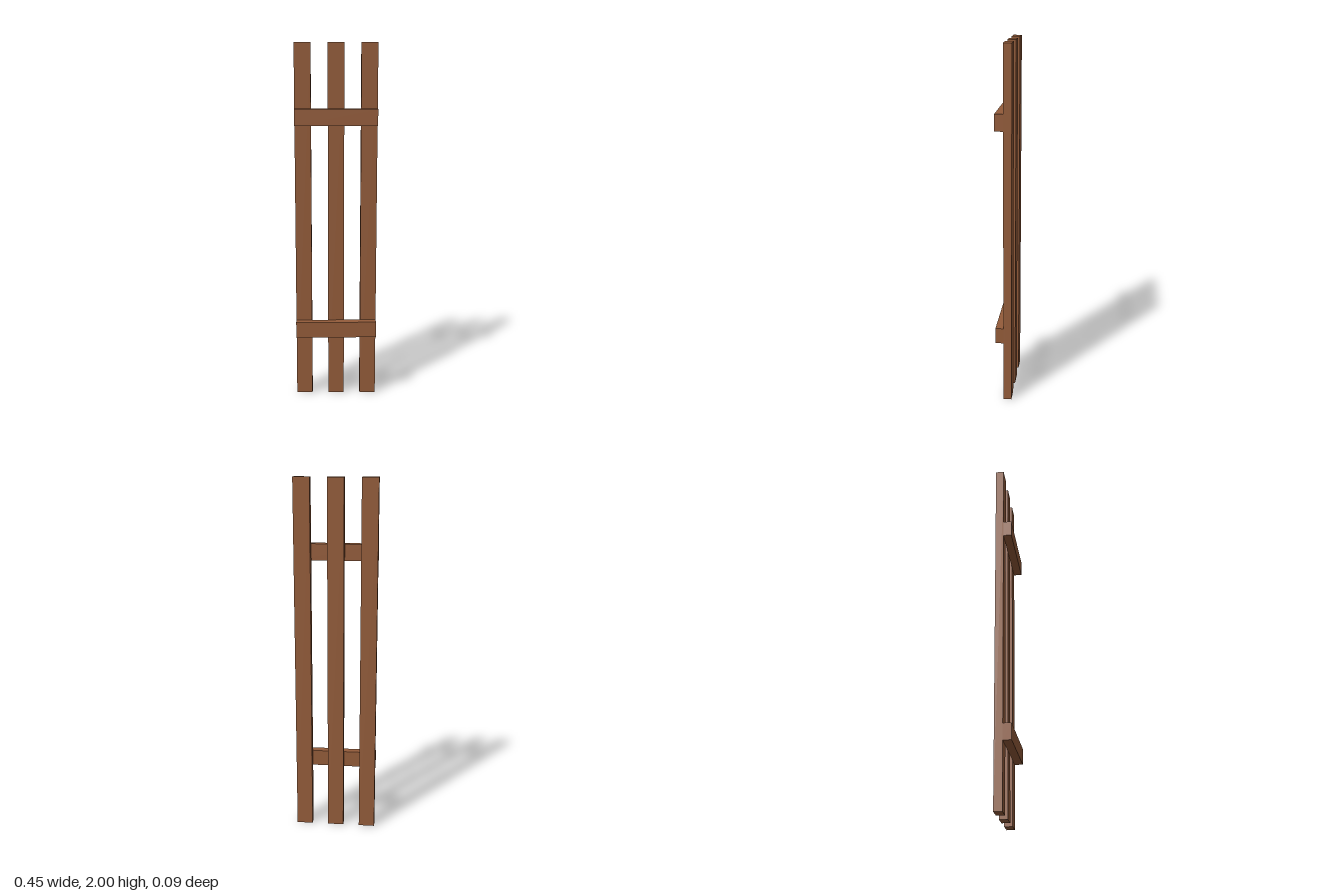
import * as THREE from 'three';

const BOARD_WIDTH = 0.09;
const BOARD_DEPTH = 0.045;
const PANEL_WIDTH = 0.454;

export function createModel() {
  const model = new THREE.Group();
  model.name = 'slattedPanel';
  const wood = new THREE.MeshStandardMaterial({ color: 0x945c3a });
  wood.name = 'brown wood';

  const addBoard = (name, width, height, x, y, z) => {
    const board = new THREE.Mesh(new THREE.BoxGeometry(width, height, BOARD_DEPTH), wood);
    board.name = name;
    board.position.set(x, y, z);
    model.add(board);
  };

  // Three upright slats at the back
  const spacing = (PANEL_WIDTH - BOARD_WIDTH) / 2;
  ['rightSlat', 'middleSlat', 'leftSlat'].forEach((name, i) =>
    addBoard(name, BOARD_WIDTH, 2, (i - 1) * spacing, 1, -BOARD_DEPTH / 2 - 0.001));

  // Two cross rails fixed to the front of the slats
  addBoard('lowerRail', PANEL_WIDTH, BOARD_WIDTH, 0, 0.4, BOARD_DEPTH / 2 - 0.001);
  addBoard('upperRail', PANEL_WIDTH, BOARD_WIDTH, 0, 1.602, BOARD_DEPTH / 2 - 0.001);

  return model;
}
